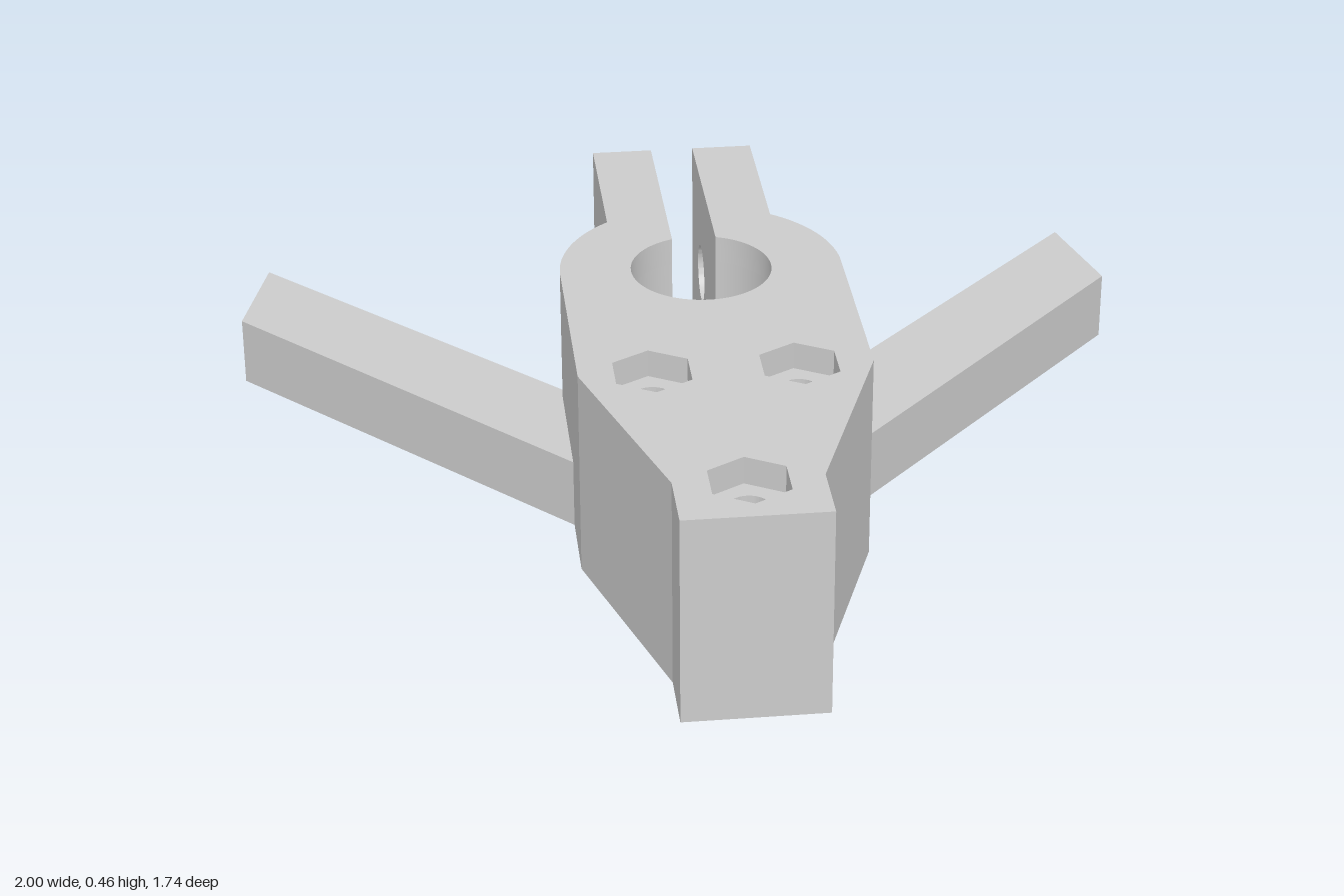
import * as THREE from 'three';
import { toCreasedNormals } from 'three/addons/utils/BufferGeometryUtils.js';

const H = 0.46;          // body height
const RECESS = 0.06;     // depth of the nut pockets
const BORE_Z = -0.18, RING = 0.305, BORE = 0.152, GAP = 0.048, EAR = 0.182;
const EAR_ROOT = BORE_Z - Math.sqrt(RING * RING - EAR * EAR);
const EAR_END = -0.79;

const mat = new THREE.MeshStandardMaterial({ color: 0xcccccc });

function mesh(name, geometry) {
  const m = new THREE.Mesh(toCreasedNormals(geometry, 0.3), mat);
  m.name = name;
  return m;
}

const extrude = (shape, depth) =>
  new THREE.ExtrudeGeometry(shape, { depth, bevelEnabled: false, curveSegments: 40 });

// Plan shapes use (x, -z) and rise from y0 to y1
const slab = (shape, y0, y1) => extrude(shape, y1 - y0).rotateX(-Math.PI / 2).translate(0, y0, 0);

// Side shapes use (-z, y) and run from x0 to x1
const plate = (shape, x0, x1) => extrude(shape, x1 - x0).rotateY(Math.PI / 2).translate(x0, 0, 0);

const roundHole = (x, y, r) => new THREE.Path().absarc(x, y, r, 0, Math.PI * 2, true);

function hexHole(x, y, r) {
  const pts = [];
  for (let i = 0; i < 6; i++) {
    const a = Math.PI / 2 - i * Math.PI / 3;
    pts.push(new THREE.Vector2(x + r * Math.cos(a), y + r * Math.sin(a)));
  }
  return new THREE.Path(pts);
}

// Tapered body with a split ring at the back
function bodyShape() {
  const s = new THREE.Shape();
  const outer = Math.acos(EAR / RING), inner = Math.acos(GAP / BORE);
  const cy = -BORE_Z;
  s.moveTo(-0.16, -0.872);
  s.lineTo(0.14, -0.872);
  s.lineTo(0.14, -0.73);
  s.lineTo(RING, -0.28);
  s.lineTo(RING, cy);
  s.absarc(0, cy, RING, 0, outer, false);
  s.lineTo(GAP, -EAR_ROOT);
  s.absarc(0, cy, BORE, inner, Math.PI - inner, true);
  s.lineTo(-GAP, -EAR_ROOT);
  s.lineTo(-EAR, -EAR_ROOT);
  s.absarc(0, cy, RING, Math.PI - outer, Math.PI, false);
  s.lineTo(-RING, -0.28);
  s.lineTo(-0.16, -0.73);
  s.closePath();
  return s;
}

function earShape(hole) {
  const s = new THREE.Shape();
  s.moveTo(-EAR_ROOT, 0);
  s.lineTo(-EAR_END, 0);
  s.lineTo(-EAR_END, H);
  s.lineTo(-EAR_ROOT, H);
  s.closePath();
  s.holes.push(hole);
  return s;
}

// Low angled arm, its root slightly inside the body
function armShape(side) {
  const pts = [[0.29, -0.11], [1, 0.63], [0.937, 0.872], [0.29, 0.215]]
    .map(([x, y]) => new THREE.Vector2(side * x, y));
  return new THREE.Shape(pts);
}

export function createModel() {
  const model = new THREE.Group();
  model.name = 'clampBracket';

  const core = new THREE.Group();
  core.name = 'clampBody';
  core.position.x = 0.005;
  model.add(core);

  // Body: round bolt holes below, hexagonal nut pockets on top
  const bolts = [[-0.152, -0.275], [0.152, -0.275], [-0.009, -0.735]];
  const lower = bodyShape(), upper = bodyShape();
  for (const [x, y] of bolts) {
    lower.holes.push(roundHole(x, y, 0.042));
    upper.holes.push(hexHole(x, y, 0.09));
  }
  core.add(mesh('bodyLower', slab(lower, 0, H - RECESS)));
  core.add(mesh('bodyNutPockets', slab(upper, H - RECESS, H)));

  // Clamp ears with a cross bolt hole; the left one holds a nut pocket
  const cross = () => earShape(roundHole(0.605, H / 2, 0.065));
  core.add(mesh('rightEar', plate(cross(), -EAR, -GAP)));
  core.add(mesh('leftEar', plate(cross(), GAP, EAR - RECESS)));
  core.add(mesh('leftEarNutPocket', plate(earShape(hexHole(0.605, H / 2, 0.124)), EAR - RECESS, EAR)));

  // Arms
  for (const side of [-1, 1]) {
    model.add(mesh(side > 0 ? 'leftArm' : 'rightArm', slab(armShape(side), 0, 0.155)));
  }
  return model;
}
